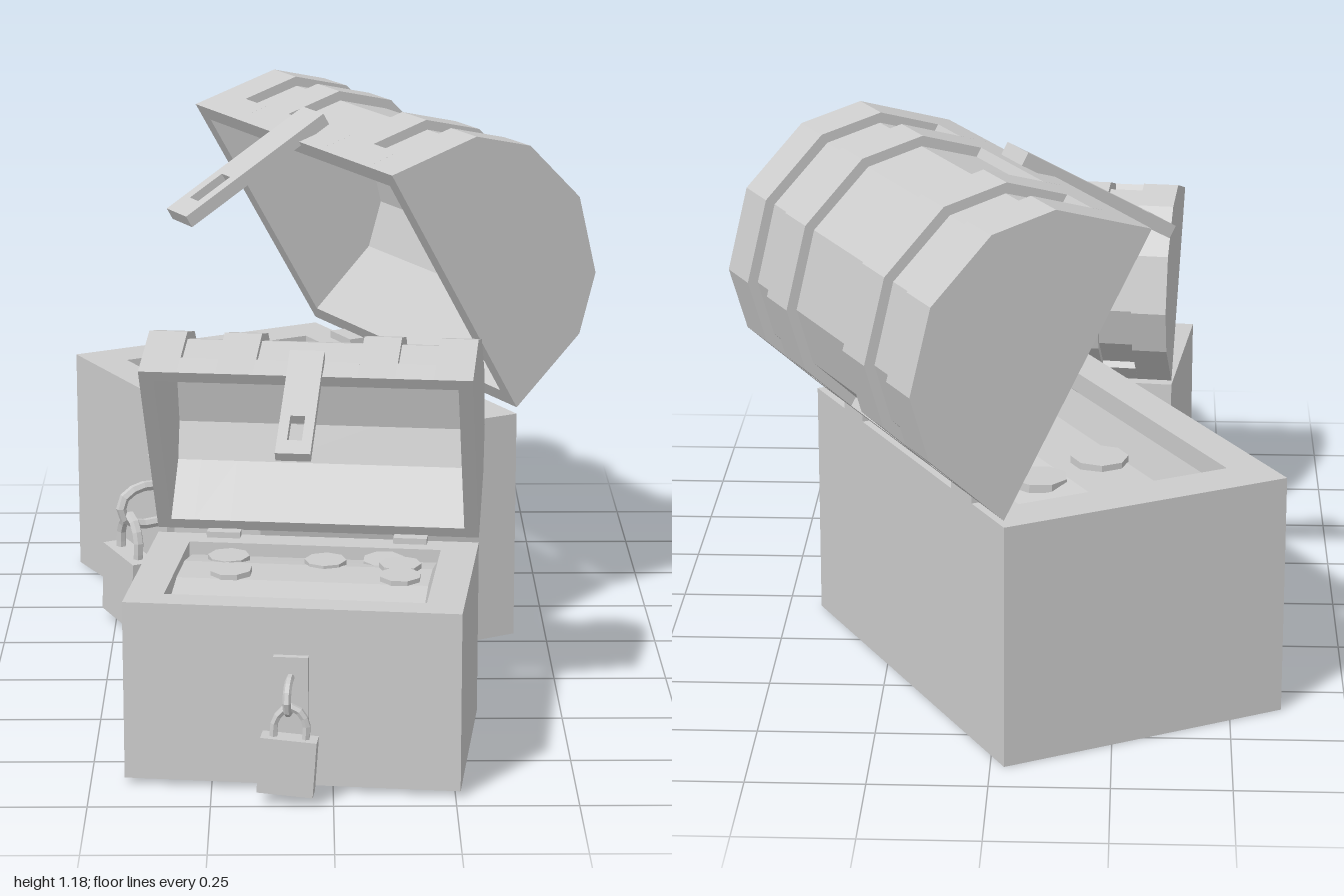
import * as THREE from 'three';

const W = 0.965, D = 0.66, H = 0.53;
const grey = new THREE.MeshStandardMaterial({ color: 0xcccccc, flatShading: true, side: THREE.DoubleSide });
grey.name = 'stone grey';

function add(parent, name, geometry, x = 0, y = 0, z = 0) {
  const mesh = new THREE.Mesh(geometry, grey);
  mesh.name = name;
  mesh.position.set(x, y, z);
  parent.add(mesh);
  return mesh;
}

const toShape = (pts) => new THREE.Shape(pts.map(([a, b]) => new THREE.Vector2(a, b)));
const rect = (w, h, cy = 0) => [[-w / 2, cy - h / 2], [w / 2, cy - h / 2], [w / 2, cy + h / 2], [-w / 2, cy + h / 2]];
const extrude = (shape, depth) => new THREE.ExtrudeGeometry(shape, { depth, bevelEnabled: false });

// Extrudes a (z, y) profile along x from x0 to x1
function alongX(pts, x0, x1) {
  return extrude(toShape(pts), x1 - x0).rotateY(-Math.PI / 2).translate(x1, 0, 0);
}

const tube = (pts, r) => new THREE.TubeGeometry(
  new THREE.CatmullRomCurve3(pts.map((p) => new THREE.Vector3(...p))), 10, r, 6);

// Open-bottomed box with a thick rim
function makeBox() {
  const box = new THREE.Group();
  box.name = 'box';
  for (const s of [-1, 1]) {
    add(box, s > 0 ? 'frontWall' : 'backWall', new THREE.PlaneGeometry(W, H), 0, H / 2, s * D / 2)
      .rotation.y = s > 0 ? 0 : Math.PI;
    add(box, 'sideWall', new THREE.PlaneGeometry(D, H), s * W / 2, H / 2, 0).rotation.y = s * Math.PI / 2;
    add(box, 'hinge', new THREE.BoxGeometry(0.1, 0.02, 0.04), s * 0.28, H + 0.008, -D / 2 + 0.02);
  }
  const rim = toShape(rect(W, D));
  rim.holes.push(toShape(rect(W - 0.214, D - 0.17)));
  add(box, 'rim', extrude(rim, 0.045).rotateX(-Math.PI / 2), 0, H - 0.045, 0);
  return box;
}

// Gently domed filling with loose coins
function makeTreasure() {
  const treasure = new THREE.Group();
  treasure.name = 'treasure';
  const height = (z) => 0.525 - 0.03 * Math.min(1, Math.max(0, (Math.abs(z) - 0.08) / 0.15));
  const mound = new THREE.PlaneGeometry(W - 0.235, 0.46, 1, 6).rotateX(-Math.PI / 2);
  const p = mound.attributes.position;
  for (let i = 0; i < p.count; i++) p.setY(i, height(p.getZ(i)));
  add(treasure, 'mound', mound);
  const spots = [[0.25, 0.7], [0.28, 0.46], [0.55, 0.66], [0.72, 0.76], [0.78, 0.62], [0.79, 0.46]];
  spots.forEach(([a, b], i) => {
    const x = (a - 0.5) * W, z = (0.5 - b) * D;
    const coin = add(treasure, 'coin', new THREE.CylinderGeometry(0.062, 0.062, 0.018, 8), x, height(z) + 0.006, z);
    coin.rotation.set(z * -0.15, i * 0.4, 0.03 * (i % 2));
  });
  return treasure;
}

// Hollow domed lid: raised bands with sunken panels between, hinged at the back edge
function makeLid() {
  const lid = new THREE.Group();
  lid.name = 'lid';
  const outer = [[0, 0], [0.05, 0.22], [0.15, 0.325], [0.33, 0.375], [0.51, 0.325], [0.61, 0.22], [0.66, 0]];
  const sunken = [[0, 0], [0.018, 0.08], [0.04, 0.08], [0.071, 0.211], [0.16, 0.304], [0.33, 0.352],
    [0.5, 0.304], [0.589, 0.211], [0.62, 0.08], [0.642, 0.08], [0.66, 0]];
  const cavity = [[0.622, 0], [0.572, 0.2], [0.493, 0.285], [0.33, 0.332], [0.167, 0.285], [0.088, 0.2], [0.038, 0]];
  const e = W / 2;
  for (const s of [-1, 1]) {
    const span = (name, pts, a, b) => add(lid, name, alongX(pts, Math.min(s * a, s * b), Math.max(s * a, s * b)));
    span('lidEnd', outer, 0.44, e);
    span('outerBand', [...outer, ...cavity], 0.37, 0.44);
    span('sidePanel', [...sunken, ...cavity], 0.26, 0.37);
    span('innerBand', [...outer, ...cavity], 0.15, 0.26);
  }
  add(lid, 'centrePanel', alongX([...sunken, ...cavity], -0.15, 0.15));

  // Slotted hasp hanging from the front of the lid
  const hasp = toShape(rect(0.1, 0.41, -0.12));
  hasp.holes.push(toShape(rect(0.042, 0.095, -0.225)));
  add(lid, 'hasp', extrude(hasp, 0.03), 0, 0, 0.65);

  lid.position.set(0, H + 0.015, -D / 2);
  lid.rotation.x = -Math.PI / 3;
  return lid;
}

// Lock plate, staple and hanging padlock
function makeLock() {
  const lock = new THREE.Group();
  lock.name = 'lock';
  add(lock, 'lockPlate', new THREE.BoxGeometry(0.1, 0.205, 0.03), 0, 0.288, 0.005);
  add(lock, 'staple', tube([[0, 0.33, 0], [0, 0.33, 0.07], [0, 0.305, 0.108], [0, 0.265, 0.108],
    [0, 0.243, 0.07], [0, 0.243, 0]], 0.012));
  const padlock = new THREE.Group();
  padlock.name = 'padlock';
  add(padlock, 'padlockBody', new THREE.BoxGeometry(0.16, 0.165, 0.06));
  add(padlock, 'shackle', tube([[-0.045, 0.07, 0], [-0.045, 0.125, 0], [-0.025, 0.16, 0], [0, 0.172, 0],
    [0.025, 0.16, 0], [0.045, 0.125, 0], [0.045, 0.07, 0]], 0.012));
  padlock.position.set(0, 0.098, 0.095);
  padlock.rotation.z = -0.07;
  lock.add(padlock);
  lock.position.z = D / 2;
  return lock;
}

function makeChest(name) {
  const chest = new THREE.Group();
  chest.name = name;
  chest.add(makeBox(), makeTreasure(), makeLid(), makeLock());
  return chest;
}

export function createModel() {
  const model = new THREE.Group();
  model.name = 'treasureChests';
  const large = makeChest('largeChest');
  large.position.set(-0.092, 0, -0.325);
  large.rotation.y = -1.079;
  const small = makeChest('smallChest');
  small.scale.setScalar(0.72);
  small.position.set(-0.057, 0.012, 0.674);
  small.rotation.y = -0.118;
  model.add(large, small);
  return model;
}
